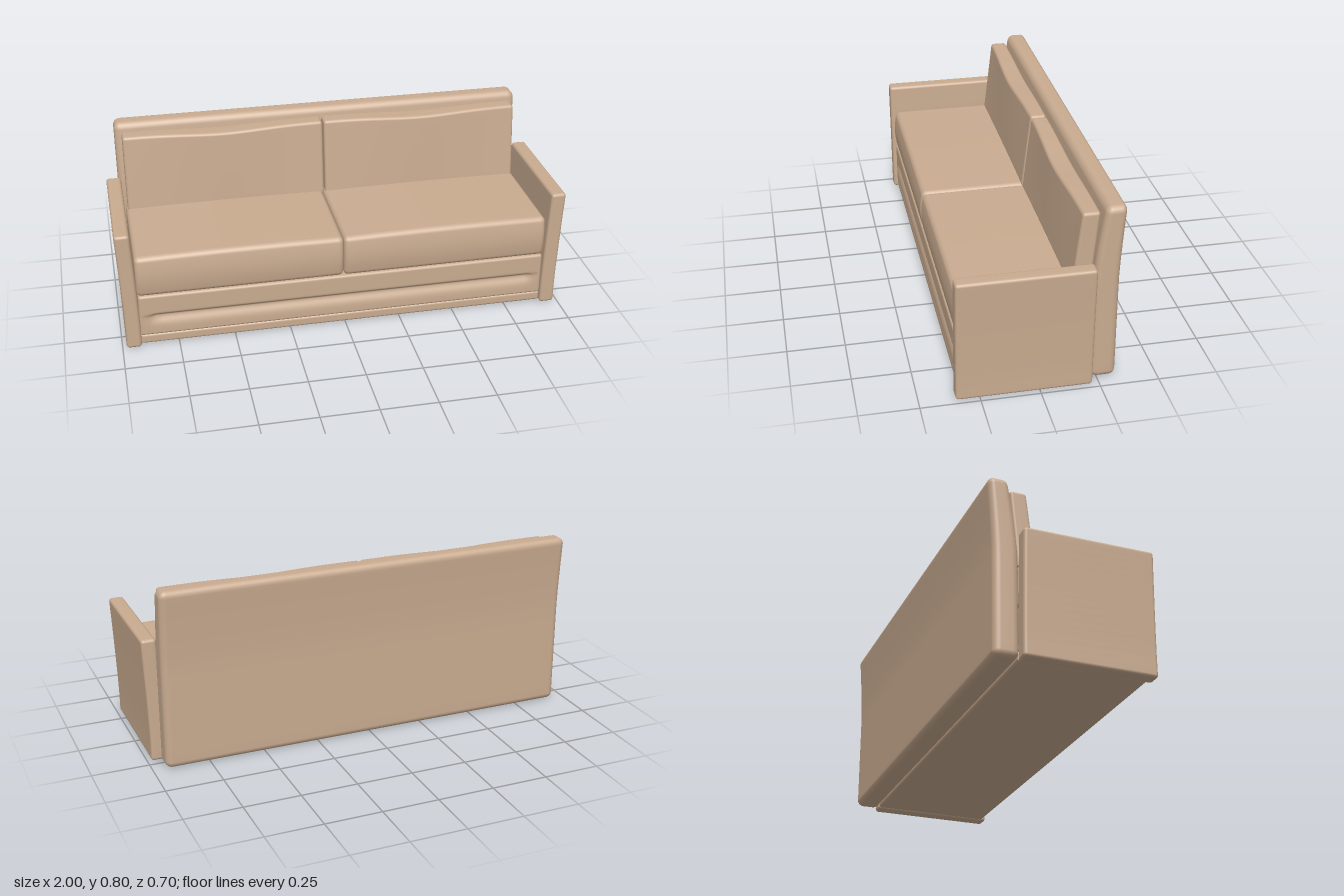
import * as THREE from 'three';
import { mergeVertices } from 'three/addons/utils/BufferGeometryUtils.js';

const fabric = new THREE.MeshStandardMaterial({ color: 0xc9ab90 });
fabric.name = 'tan fabric';

const K = 4; // rows of faces in each rounded edge
const smooth = (a, b, v) => THREE.MathUtils.smoothstep(v, a, b);

// Grid line along one axis: K rows within each rounded edge, the rest evenly spread
function gridLine(t, n, half, r) {
  const i = Math.round(t * n);
  const edge = (j) => r * (1 - Math.tan((1 - j / K) * Math.PI / 4));
  if (i <= K) return -half + edge(i) * 1;
  if (i >= n - K) return half - edge(n - i);
  return -half + r + (2 * half - 2 * r) * (i - K) / (n - 2 * K);
}

// Rounded block between two corners [x, y, z]; bend(p) moves each point afterwards
function softBlock(name, min, max, r, rows, bend) {
  const lo = new THREE.Vector3(...min), hi = new THREE.Vector3(...max);
  const mid = lo.clone().add(hi).multiplyScalar(0.5);
  const half = hi.clone().sub(lo).multiplyScalar(0.5);
  const n = rows.map((m) => m + 2 * K);
  let geo = new THREE.BoxGeometry(1, 1, 1, ...n);
  geo.deleteAttribute('uv');
  geo.deleteAttribute('normal');
  const pos = geo.attributes.position;
  const p = new THREE.Vector3(), core = new THREE.Vector3();
  for (let i = 0; i < pos.count; i++) {
    p.fromBufferAttribute(pos, i);
    ['x', 'y', 'z'].forEach((a, k) => {
      p[a] = gridLine(p[a] + 0.5, n[k], half[a], r);
      core[a] = THREE.MathUtils.clamp(p[a], -half[a] + r, half[a] - r);
    });
    p.sub(core).setLength(r).add(core).add(mid);
    if (bend) bend(p);
    pos.setXYZ(i, p.x, p.y, p.z);
  }
  geo = mergeVertices(geo, 1e-5);
  geo.computeVertexNormals();
  const mesh = new THREE.Mesh(geo, fabric);
  mesh.name = name;
  return mesh;
}

export function createModel() {
  const sofa = new THREE.Group();
  sofa.name = 'sofa';

  // Backrest, leaning and thinning towards the top
  sofa.add(softBlock('backrest', [-0.945, 0.004, -0.33], [0.945, 0.804, -0.222], 0.03, [8, 20, 2], (p) => {
    const front = (p.z + 0.33) / 0.108;
    const lean = Math.pow(Math.max(0, (p.y - 0.46) / 0.34), 1.4);
    p.z -= lean * THREE.MathUtils.lerp(0.02, 0.042, front);
  }));

  // Plinth along the floor
  sofa.add(softBlock('plinth', [-0.918, 0.006, -0.222], [0.918, 0.052, 0.33], 0.012, [2, 1, 2]));

  // Front panel with a padded fold that fades out at both ends
  sofa.add(softBlock('basePanel', [-0.918, 0.048, -0.215], [0.918, 0.246, 0.332], 0.012, [60, 40, 1], (p) => {
    if (p.z < 0.3) return;
    const d = p.y - 0.14;
    const fade = 1 - smooth(0.84, 0.89, Math.abs(p.x));
    p.z -= 0.018 * fade * Math.exp(-Math.pow(d / (d > 0 ? 0.01 : 0.03), 2));
  }));

  for (const side of [1, -1]) {
    const label = side > 0 ? 'left' : 'right';
    const span = (a, b) => (side > 0 ? [a, b] : [-b, -a]);

    // Arm, flaring outwards above the base
    const [a0, a1] = span(0.916, 0.982);
    sofa.add(softBlock(label + 'Arm', [a0, 0.002, -0.222], [a1, 0.56, 0.35], 0.014, [1, 16, 1], (p) => {
      p.x += side * 0.018 * Math.pow(Math.max(0, (p.y - 0.08) / 0.48), 1.3);
    }));

    // Seat cushion with a crowned top and a full front
    const [s0, s1] = span(side > 0 ? -0.006 : 0.008, 0.922);
    sofa.add(softBlock(label + 'SeatCushion', [s0, 0.242, -0.215], [s1, 0.434, 0.325], 0.022, [20, 10, 14], (p) => {
      const across = Math.sin(Math.PI * THREE.MathUtils.clamp((p.x - s0) / (s1 - s0), 0, 1));
      const along = smooth(0.34, 0.1, p.z);
      const up = (p.y - 0.242) / 0.192;
      if (up > 0.5) p.y += 0.012 * across * (up - 0.5) * 2 * (0.4 + 0.6 * along);
      if (p.z > 0.25) p.z += 0.012 * Math.sin(Math.PI * THREE.MathUtils.clamp(up, 0, 1));
    }));

    // Back cushion, leaning back with a dipped top and a soft belly
    const [b0, b1] = span(0.003, 0.914);
    sofa.add(softBlock(label + 'BackCushion', [b0, 0.42, -0.215], [b1, 0.772, -0.134], 0.014, [24, 14, 2], (p) => {
      const across = Math.sin(Math.PI * THREE.MathUtils.clamp((p.x - b0) / (b1 - b0), 0, 1));
      const up = THREE.MathUtils.clamp((p.y - 0.42) / 0.352, 0, 1);
      const front = THREE.MathUtils.clamp((p.z + 0.215) / 0.081, 0, 1);
      p.z -= up * THREE.MathUtils.lerp(0.032, 0.04, front);
      p.z += 0.012 * front * up * Math.pow(across, 2);
      p.y -= 0.01 * up * up * Math.pow(across, 4);
    }));
  }
  return sofa;
}
